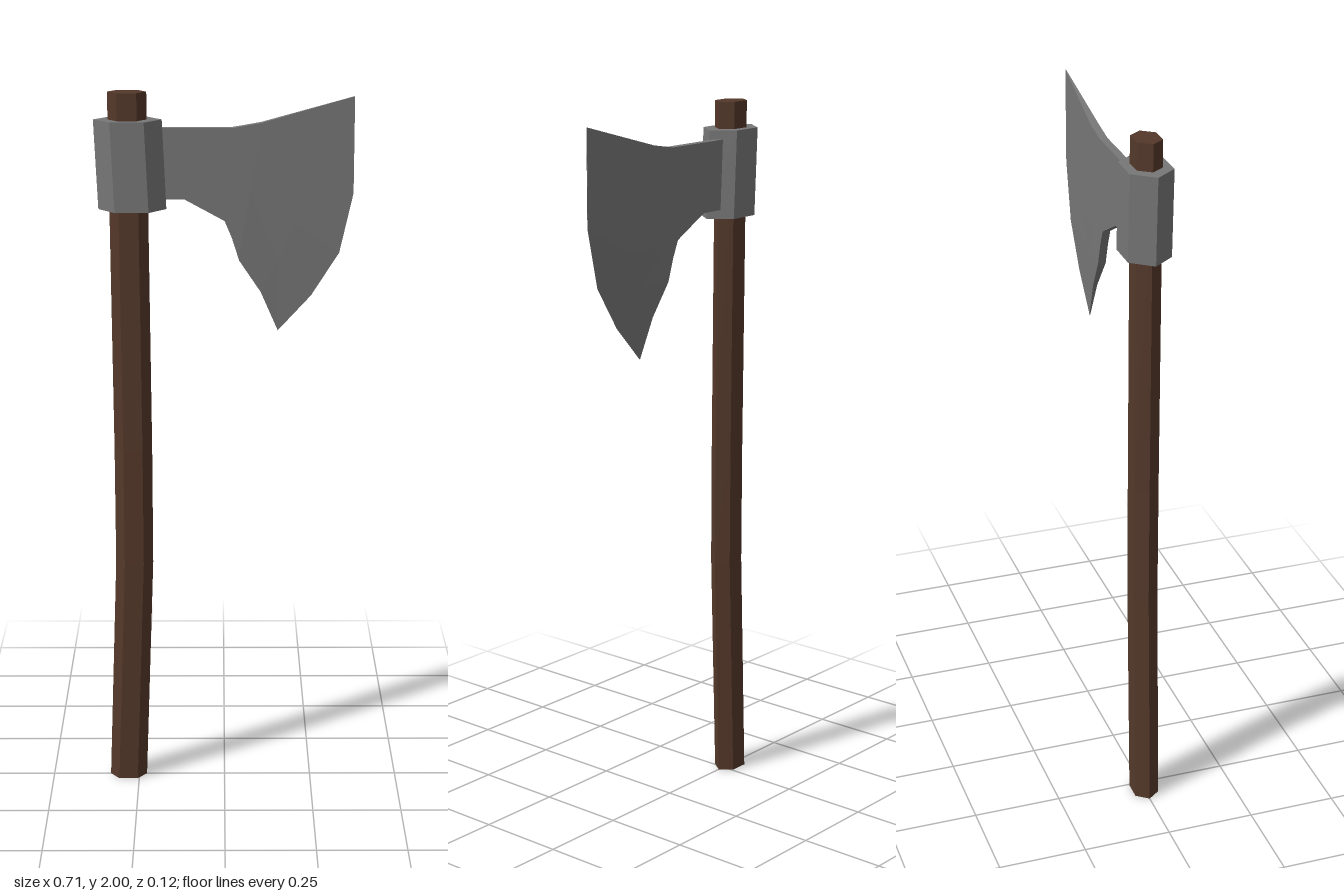
import * as THREE from 'three';

const wood = new THREE.MeshStandardMaterial({ color: 0x54382a, flatShading: true });
const steel = new THREE.MeshStandardMaterial({ color: 0x777777, flatShading: true });

// Skin a list of equal-length rings (counter-clockwise seen from the last ring) and cap both ends
function loft(name, rings, material) {
  const n = rings[0].length, last = (rings.length - 1) * n, index = [];
  for (let r = 0; r < rings.length - 1; r++) {
    for (let i = 0; i < n; i++) {
      const j = (i + 1) % n, a = r * n, b = a + n;
      index.push(a + i, a + j, b + j, a + i, b + j, b + i);
    }
  }
  for (let i = 1; i < n - 1; i++) {
    index.push(0, i + 1, i, last, last + i, last + i + 1);
  }
  const indexed = new THREE.BufferGeometry();
  indexed.setAttribute('position', new THREE.Float32BufferAttribute(rings.flat(2), 3));
  indexed.setIndex(index);
  const geometry = indexed.toNonIndexed();
  geometry.computeVertexNormals();
  const mesh = new THREE.Mesh(geometry, material);
  mesh.name = name;
  return mesh;
}

// Horizontal hexagon with points toward +x and -x
function hexRing(cx, y, halfX, flatX, halfZ) {
  return [[halfX, 0], [flatX, -halfZ], [-flatX, -halfZ], [-halfX, 0], [-flatX, halfZ], [flatX, halfZ]]
    .map(([x, z]) => [cx + x, y, z]);
}

// Points evenly spaced from the top to the bottom of a blade station
const column = (x0, y0, x1, y1) =>
  [0, 1, 2, 3, 4].map(i => [x0 + (x1 - x0) * i / 4, y0 + (y1 - y0) * i / 4]);

// Blade cross-section: front side downward, then back side upward
function bladeRing(points, half) {
  const z = -0.019;
  return [
    ...points.map(([x, y]) => [x, y, z + half]),
    ...points.slice().reverse().map(([x, y]) => [x, y, z - half]),
  ];
}

export function createModel() {
  const group = new THREE.Group();
  group.name = 'axe';

  // Handle, bending slightly toward the foot
  const spine = [[-0.281, 0], [-0.257, 0.66], [-0.257, 1], [-0.264, 2]];
  group.add(loft('handle', spine.map(([x, y]) => hexRing(x, y, 0.053, 0.027, 0.035)), wood));

  // Collar around the handle, leaning a little
  group.add(loft('collar', [
    hexRing(-0.252, 1.68, 0.093, 0.046, 0.06),
    hexRing(-0.263, 1.925, 0.093, 0.046, 0.06),
  ], steel));

  // Blade: even neck, then a taper to the curved cutting edge
  const shoulder = column(0.1, 1.914, 0.04, 1.535);
  const edge = [[0.353, 1.985], [0.353, 1.72], [0.316, 1.555], [0.24, 1.435], [0.148, 1.335]];
  const middle = shoulder.map(([x, y], i) => [(x + edge[i][0]) / 2, (y + edge[i][1]) / 2]);
  middle[4] = [0.1, 1.445];
  group.add(loft('blade', [
    bladeRing(column(-0.21, 1.9, -0.21, 1.705), 0.011),
    bladeRing(column(-0.11, 1.9, -0.11, 1.705), 0.011),
    bladeRing(column(0.02, 1.9, 0, 1.645), 0.011),
    bladeRing(column(0.05, 1.905, 0.02, 1.598), 0.011),
    bladeRing(shoulder, 0.011),
    bladeRing(middle, 0.006),
    bladeRing(edge, 0.001),
  ], steel));

  return group;
}
